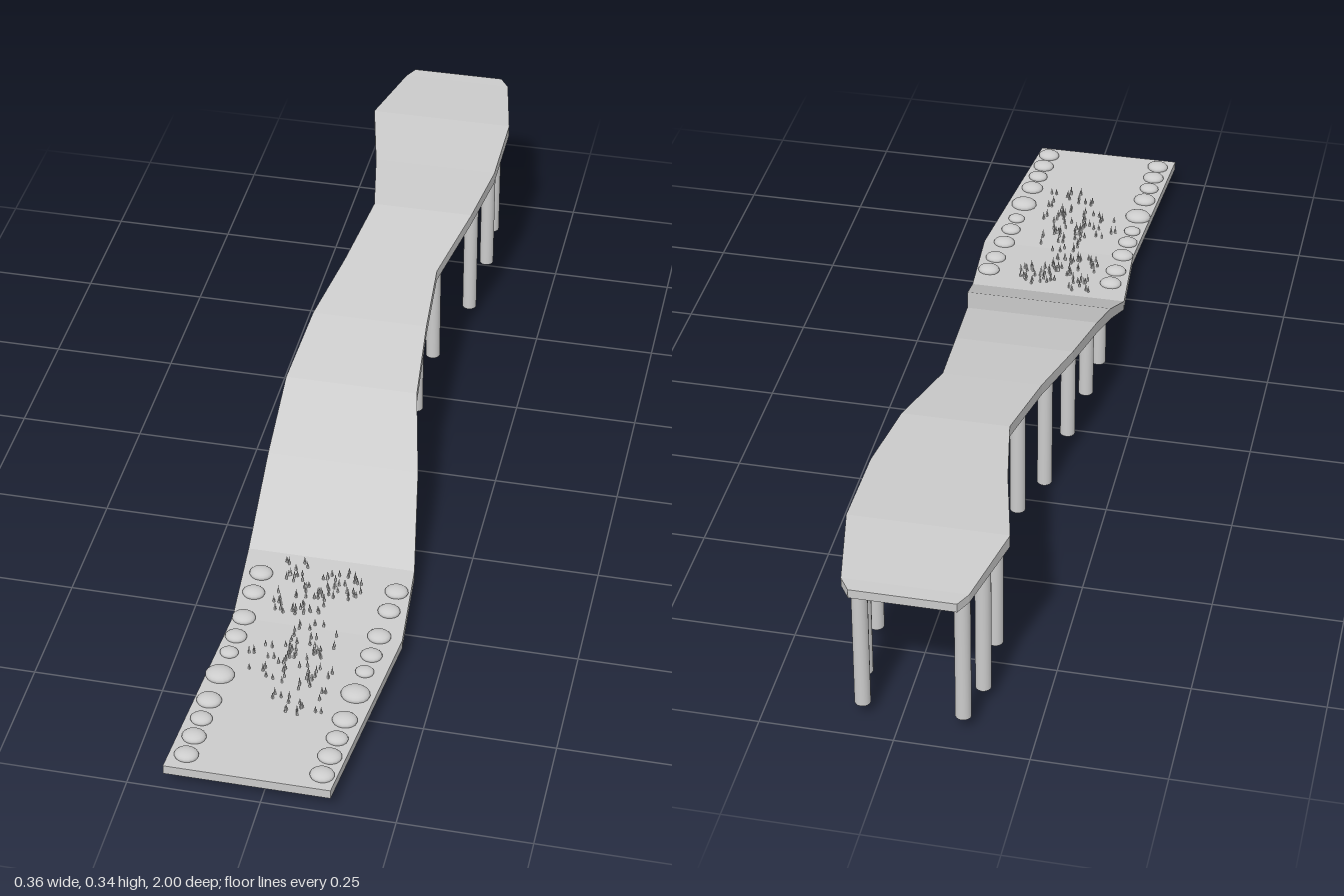
import * as THREE from 'three';

// Deck stations: z, right edge x, left edge x, top y, thickness
const STATIONS = [
  [1, -0.18, 0.13, 0.055, 0.019], [0.58, -0.155, 0.175, 0.056, 0.019],
  [0.39, -0.17, 0.16, 0.067, 0.021], [0.21, -0.172, 0.13, 0.166, 0.026],
  [0.05, -0.172, 0.095, 0.236, 0.025], [-0.12, -0.155, 0.08, 0.277, 0.024],
  [-0.28, -0.125, 0.07, 0.303, 0.023], [-0.46, -0.1, 0.108, 0.328, 0.023],
  [-0.62, -0.13, 0.128, 0.333, 0.025], [-0.8, -0.172, 0.128, 0.34, 0.025],
  [-0.97, -0.135, 0.095, 0.333, 0.018], [-1, -0.12, 0.075, 0.333, 0.018],
];

// Interpolated station at any z
function stationAt(z) {
  let i = 0;
  while (i < STATIONS.length - 2 && STATIONS[i + 1][0] > z) i++;
  const a = STATIONS[i], b = STATIONS[i + 1];
  const t = (a[0] - z) / (a[0] - b[0]);
  return a.map((v, k) => v + (b[k] - v) * t);
}

// Solid ribbon joined from four-cornered cross-sections
function deckGeometry() {
  const pos = [], index = [];
  for (const [z, x0, x1, y, h] of STATIONS) {
    pos.push(x0, y, z, x1, y, z, x1, y - h, z, x0, y - h, z);
  }
  for (let i = 0; i < STATIONS.length - 1; i++) {
    for (let k = 0; k < 4; k++) {
      const a = i * 4 + k, b = i * 4 + (k + 1) % 4;
      index.push(a, b, b + 4, a, b + 4, a + 4);
    }
  }
  const e = (STATIONS.length - 1) * 4;
  index.push(0, 3, 2, 0, 2, 1, e, e + 1, e + 2, e, e + 2, e + 3);
  const g = new THREE.BufferGeometry();
  g.setAttribute('position', new THREE.Float32BufferAttribute(pos, 3));
  g.setIndex(index);
  const flat = g.toNonIndexed();
  flat.computeVertexNormals();
  return flat;
}

function seeded(seed) {
  return () => {
    seed = (seed * 16807) % 2147483647;
    return seed / 2147483647;
  };
}

export function createModel() {
  const model = new THREE.Group();
  model.name = 'boardwalk';
  const mat = new THREE.MeshStandardMaterial({ color: 0xcccccc });
  const flatMat = new THREE.MeshStandardMaterial({ color: 0xcccccc, flatShading: true });
  const add = (parent, name, geo, x, y, z, m = mat) => {
    const mesh = new THREE.Mesh(geo, m);
    mesh.name = name;
    mesh.position.set(x, y, z);
    parent.add(mesh);
    return mesh;
  };
  const group = (name) => {
    const g = new THREE.Group();
    g.name = name;
    model.add(g);
    return g;
  };

  add(model, 'deck', deckGeometry(), 0, 0, 0, flatMat);

  // Pairs of posts: z, foot height on the left, foot height on the right
  const posts = group('posts');
  const feet = [
    [0.225, 0, 0.022], [0.08, 0.043, 0.043], [-0.06, 0.037, 0.037],
    [-0.195, 0.01, 0.01], [-0.34, 0.045, 0.045], [-0.56, 0.024, 0.024],
    [-0.725, 0.03, 0.03], [-0.855, 0.03, 0.03], [-0.94, 0.03, 0.03],
  ];
  for (const [z, footLeft, footRight] of feet) {
    const [, x0, x1, y, h] = stationAt(z);
    for (const [x, foot] of [[x1 - 0.03, footLeft], [x0 + 0.026, footRight]]) {
      const top = y - h * 0.5;
      const geo = new THREE.CylinderGeometry(0.015, 0.015, top - foot, 16);
      add(posts, 'post', geo, x, (top + foot) / 2, z);
    }
  }

  // Flattened stones along both edges of the low end: z, radius
  const stones = group('edgeStones');
  const stoneGeo = new THREE.SphereGeometry(1, 16, 10);
  const rows = [
    [0.455, 0.023], [0.51, 0.022], [0.58, 0.023], [0.635, 0.021], [0.682, 0.018],
    [0.745, 0.028], [0.817, 0.024], [0.868, 0.021], [0.916, 0.023], [0.965, 0.023],
  ];
  for (const [z, r] of rows) {
    const t = (z - 0.455) / 0.51;
    const y = stationAt(z)[3] + 0.003;
    for (const x of [-0.129 - 0.016 * t, 0.138 - 0.031 * t]) {
      add(stones, 'stone', stoneGeo, x, y, z).scale.set(r, r * 0.48, r * 0.85);
    }
  }

  // Clumps of grass between the stones: z range, x range, count
  const grass = group('grass');
  const rand = seeded(71);
  const bladeGeo = new THREE.ConeGeometry(0.003, 0.02, 4);
  const clumps = [
    [0.41, 0.55, -0.09, 0.02, 55], [0.42, 0.5, 0.0, 0.08, 25],
    [0.57, 0.67, -0.03, 0.06, 30], [0.63, 0.74, -0.1, 0.0, 25],
    [0.68, 0.76, 0.0, 0.07, 20], [0.77, 0.82, -0.04, 0.07, 15],
  ];
  for (const [z0, z1, x0, x1, count] of clumps) {
    for (let i = 0; i < count; i++) {
      const z = z0 + (z1 - z0) * rand(), x = x0 + (x1 - x0) * rand();
      const s = 0.75 + 0.3 * rand();
      const blade = add(grass, 'blade', bladeGeo, x, stationAt(z)[3] + 0.009 * s, z, flatMat);
      blade.scale.y = s;
      blade.rotation.y = rand() * Math.PI;
    }
  }
  return model;
}
